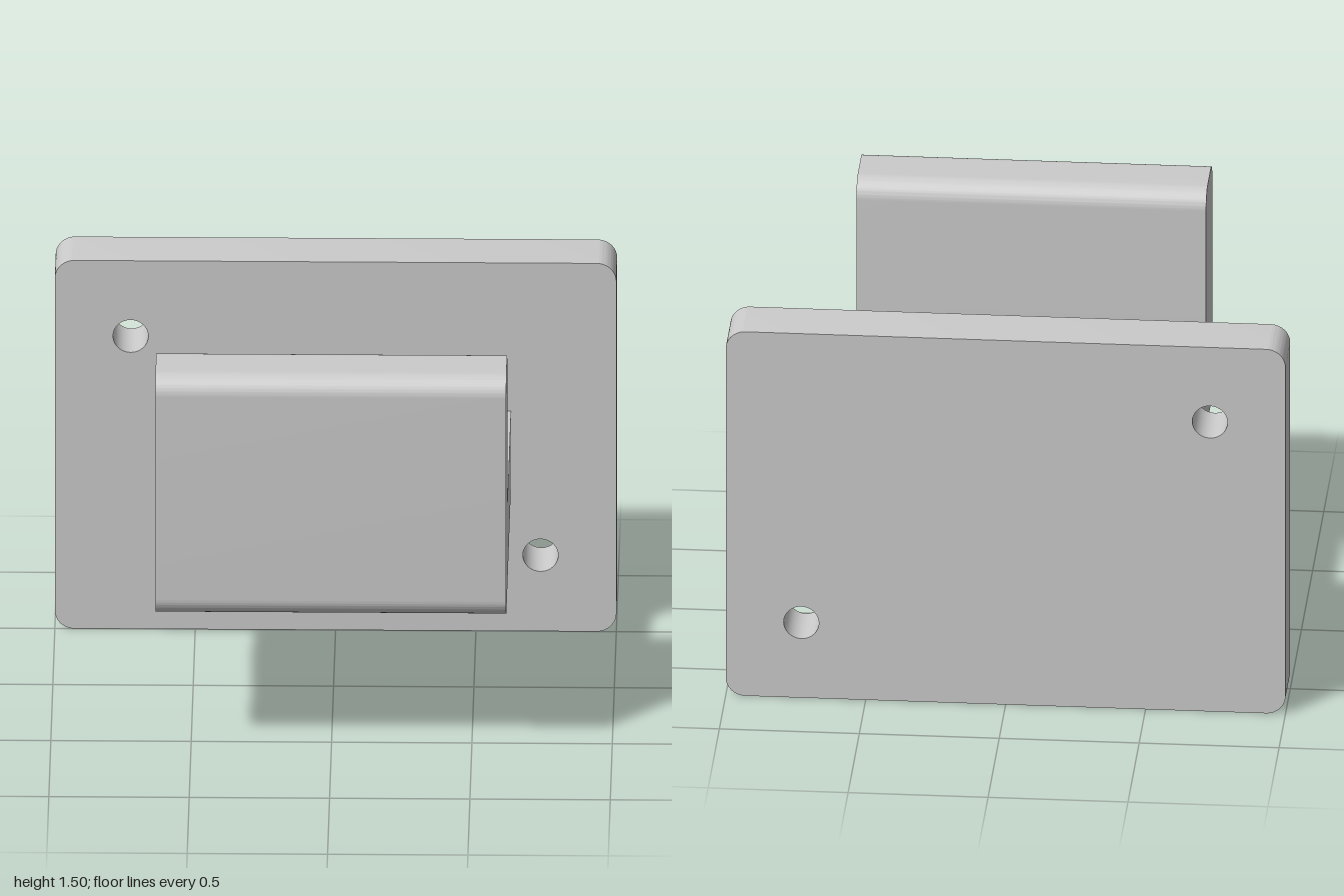
import * as THREE from 'three';
import { toCreasedNormals } from 'three/addons/utils/BufferGeometryUtils.js';

const material = new THREE.MeshStandardMaterial({ color: 0xcccccc });

// Outline through [x, y, cornerRadius] points, counter-clockwise
function roundedOutline(points) {
  const shape = new THREE.Shape();
  const n = points.length;
  points.forEach(([x, y, r], i) => {
    const corner = new THREE.Vector2(x, y);
    const toward = (q) => new THREE.Vector2(q[0], q[1]).sub(corner).normalize();
    const a = toward(points[(i + n - 1) % n]);
    const b = toward(points[(i + 1) % n]);
    const start = corner.clone().addScaledVector(a, r);
    if (i === 0) shape.moveTo(start.x, start.y);
    else shape.lineTo(start.x, start.y);
    if (r > 0) {
      // all rounded corners here are convex right angles
      const c = start.clone().addScaledVector(b, r);
      const from = Math.atan2(-b.y, -b.x);
      shape.absarc(c.x, c.y, r, from, from + Math.PI / 2, false);
    }
  });
  shape.closePath();
  return shape;
}

function extrude(name, shape, depth) {
  const geometry = new THREE.ExtrudeGeometry(shape, { depth, bevelEnabled: false, curveSegments: 16 });
  geometry.translate(0, 0, -depth / 2);
  const mesh = new THREE.Mesh(toCreasedNormals(geometry, 0.5), material);
  mesh.name = name;
  return mesh;
}

// Side profile in (z, y), extruded across x
function sideProfile(name, points, width) {
  const mesh = extrude(name, roundedOutline(points), width);
  mesh.rotation.y = -Math.PI / 2;
  return mesh;
}

export function createModel() {
  const group = new THREE.Group();
  group.name = 'wallHook';
  const R = 0.07;

  // Wall plate with two diagonal screw holes
  const plate = roundedOutline([[-1, 0, R], [1, 0, R], [1, 1.43, R], [-1, 1.43, R]]);
  for (const [x, y] of [[-0.73, 1.137], [0.73, 0.295]]) {
    const hole = new THREE.Path();
    hole.absarc(x, y, 0.063, 0, Math.PI * 2, true);
    plate.holes.push(hole);
  }
  const wallPlate = extrude('wallPlate', plate, 0.213);
  wallPlate.position.z = -0.6075;
  group.add(wallPlate);

  // L-shaped hook: arm and upturned lip, its rear end let into the plate
  group.add(sideProfile('hook', [
    [-0.55, 0.573, R], [0.714, 0.573, R], [0.714, 1.5, R],
    [0.43, 1.5, R], [0.43, 0.857, 0], [-0.55, 0.857, R],
  ], 1.25));

  // Triangular rib under the arm
  group.add(sideProfile('supportRib', [
    [-0.51, 0.087, 0], [0.4, 0.573, 0], [0.4, 0.58, 0], [-0.51, 0.58, 0],
  ], 0.146));

  return group;
}
